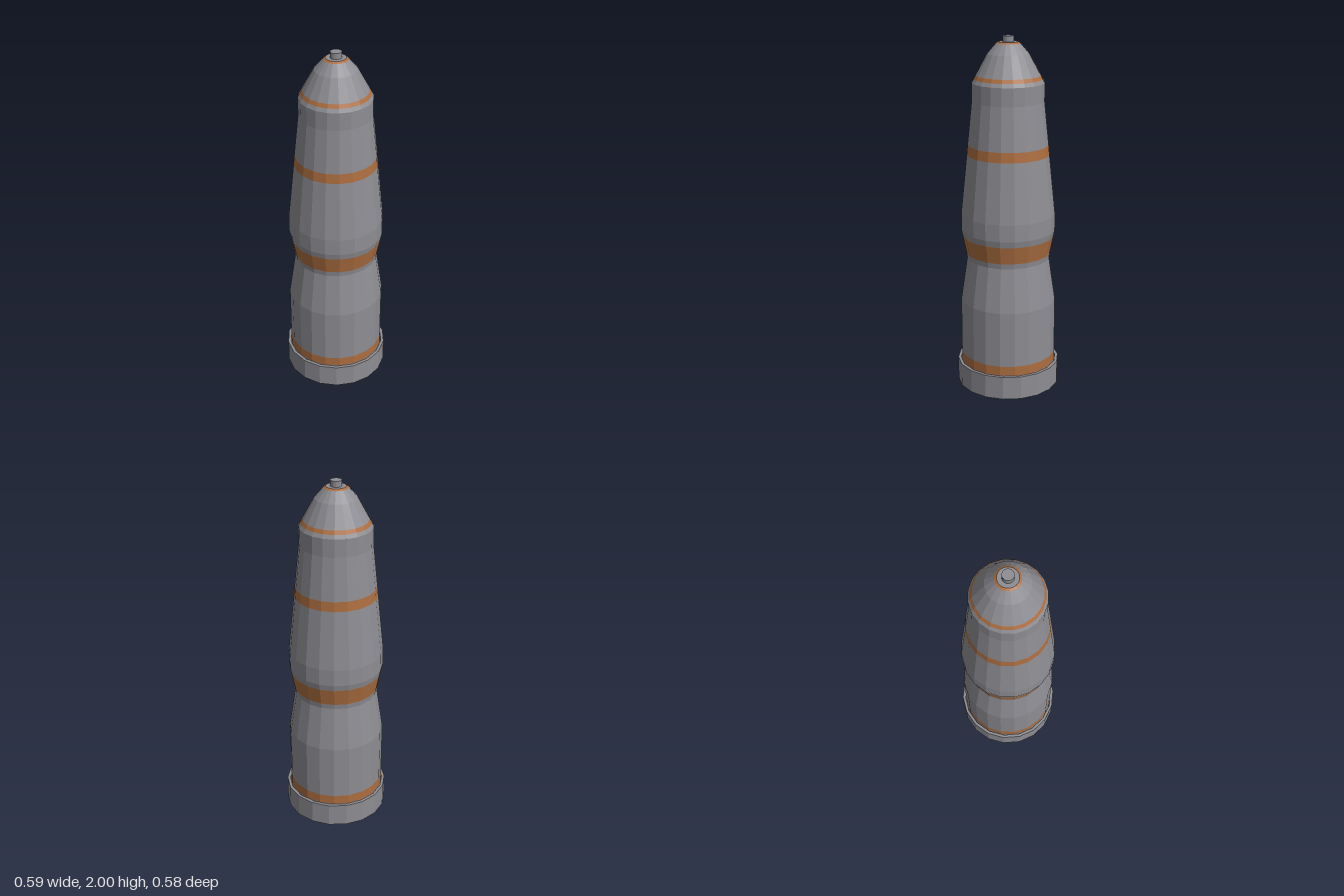
import * as THREE from 'three';

const grey = new THREE.MeshStandardMaterial({ color: 0x8e8d93, flatShading: true });
grey.name = 'grey metal';
const copper = new THREE.MeshStandardMaterial({ color: 0xad6e40, flatShading: true });
copper.name = 'copper band';

// Faceted ring turned from [radius, height] pairs, listed bottom to top
function turned(name, material, profile, sides = 20, start = 0) {
  const points = profile.map(([r, y]) => new THREE.Vector2(r, y));
  const mesh = new THREE.Mesh(new THREE.LatheGeometry(points, sides, start), material);
  mesh.name = name;
  return mesh;
}

export function createModel() {
  const model = new THREE.Group();
  model.name = 'shell';

  // Base collar: a short tube with 18 sides, open below
  model.add(turned('baseCollar', grey, [
    [0.276, 0], [0.293, 0], [0.293, 0.135], [0.276, 0.135], [0.276, 0],
  ], 18, Math.PI / 2));

  // Casing, waist, shoulder and nose, each section meeting the next
  const sections = [
    ['casingBottom', grey, [[0, 0.025], [0.271, 0.025], [0.271, 0.135]]],
    ['baseBand', copper, [[0.271, 0.135], [0.271, 0.19]]],
    ['casing', grey, [[0.271, 0.19], [0.271, 0.51], [0.234, 0.76], [0.238, 0.79]]],
    ['waistBand', copper, [[0.238, 0.79], [0.258, 0.89]]],
    ['lowerShoulder', grey, [[0.258, 0.89], [0.265, 0.925], [0.265, 1.02], [0.23, 1.355]]],
    ['shoulderBand', copper, [[0.23, 1.355], [0.225, 1.41]]],
    ['upperShoulder', grey, [[0.225, 1.41], [0.2, 1.65], [0.2, 1.75], [0.189, 1.77]]],
    ['noseBand', copper, [[0.189, 1.77], [0.178, 1.79]]],
    ['nose', grey, [[0.178, 1.79], [0.115, 1.905], [0.067, 1.96]]],
    ['tipBand', copper, [[0.067, 1.96], [0.055, 1.968]]],
    ['noseTop', grey, [[0.055, 1.968], [0, 1.968]]],
    ['tip', grey, [[0.031, 1.96], [0.031, 2], [0, 2]]],
  ];
  for (const [name, material, profile] of sections) model.add(turned(name, material, profile));

  return model;
}
